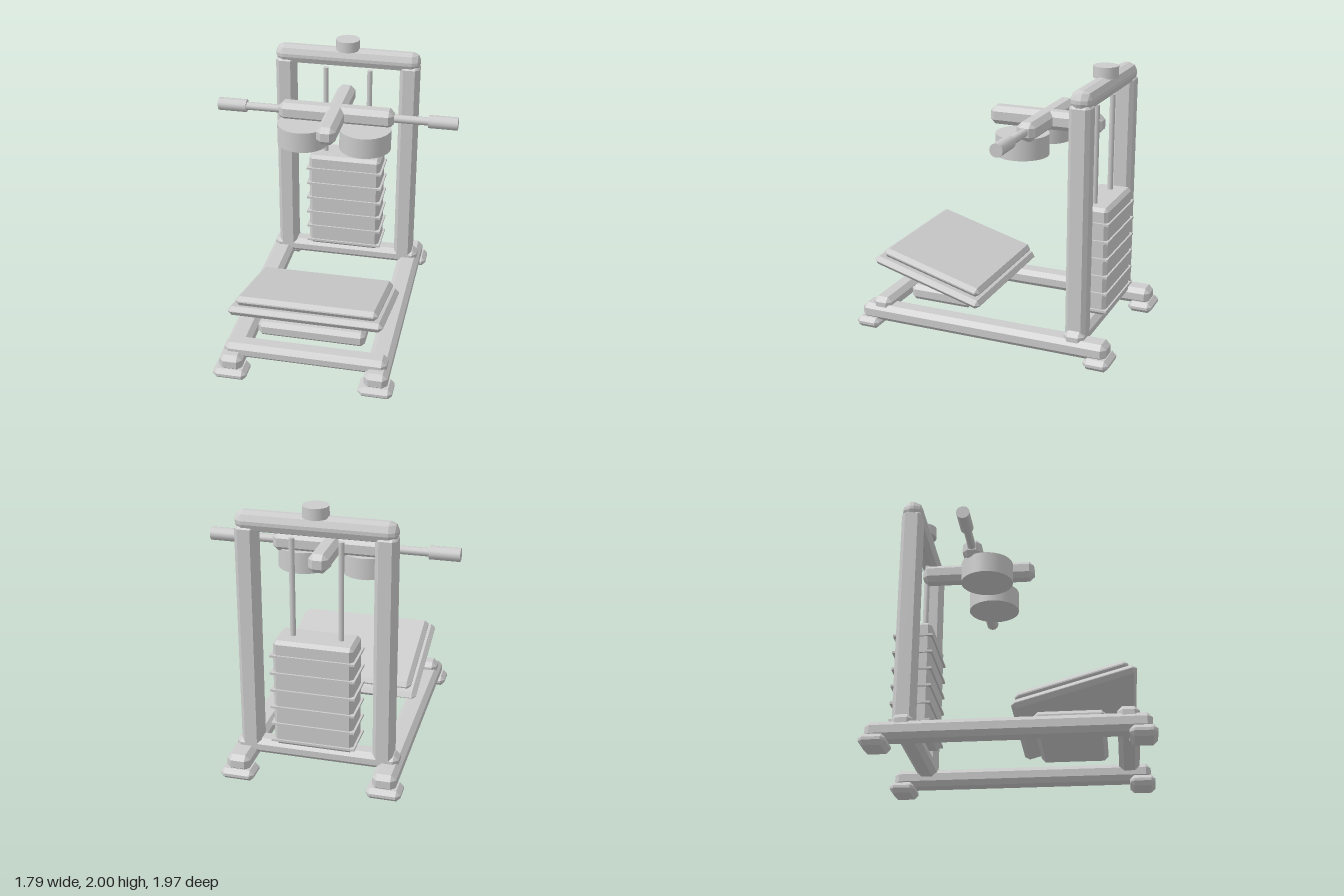
import * as THREE from 'three';
import { ConvexGeometry } from 'three/addons/geometries/ConvexGeometry.js';

const steel = new THREE.MeshStandardMaterial({ color: 0xcccccc });
steel.name = 'light grey steel';

// Box with bevelled edges: hull of eight corner patches; steps 2 gives a rounder bevel
function bevelBox(w, h, d, c, steps = 1) {
  const pts = [];
  const dirs = [[1, 0, 0], [0, 1, 0], [0, 0, 1]];
  if (steps > 1) {
    const r = Math.SQRT1_2;
    dirs.push([r, r, 0], [r, 0, r], [0, r, r]);
  }
  for (const sx of [-1, 1]) for (const sy of [-1, 1]) for (const sz of [-1, 1])
    for (const [x, y, z] of dirs)
      pts.push(new THREE.Vector3(
        sx * (w / 2 - c + x * c), sy * (h / 2 - c + y * c), sz * (d / 2 - c + z * c)));
  return new ConvexGeometry(pts);
}

export function createModel() {
  const model = new THREE.Group();
  model.name = 'exerciseMachine';

  function add(name, geometry, x, y, z, parent = model) {
    const mesh = new THREE.Mesh(geometry, steel);
    mesh.name = name;
    mesh.position.set(x, y, z);
    parent.add(mesh);
    return mesh;
  }
  const cylinder = (r, h, n) => new THREE.CylinderGeometry(r, r, h, n);

  // Base: feet, side rails, cross bars
  for (const [s, side] of [[1, 'left'], [-1, 'right']]) {
    for (const [f, end] of [[1, 'Front'], [-1, 'Rear']])
      add(side + end + 'Foot', bevelBox(0.245, 0.08, 0.185, 0.03), s * 0.527, 0.04, f * 0.893);
    add(side + 'Rail', bevelBox(0.17, 0.125, 1.91, 0.035), s * 0.525, 0.117, 0);
    add(side + 'Post', bevelBox(0.145, 1.7, 0.15, 0.028), s * 0.478, 0.99, -0.71);
  }
  add('frontCrossBar', bevelBox(1.18, 0.115, 0.15, 0.035), 0, 0.178, 0.8);
  add('rearCrossBar', bevelBox(1.18, 0.115, 0.15, 0.035), 0, 0.178, -0.71);

  // Top beam and cap
  add('topBeam', bevelBox(1.11, 0.145, 0.15, 0.06, 2), 0, 1.858, -0.71);
  add('topCap', cylinder(0.09, 0.08, 24), 0, 1.96, -0.71);

  // Weight stack with thin dividers, and its guide rods
  add('weightStack', bevelBox(0.565, 0.8, 0.262, 0.025), 0, 0.655, -0.712);
  for (let i = 0; i < 6; i++)
    add('stackDivider', new THREE.BoxGeometry(0.596, 0.016, 0.288), 0, 0.295 + i * 0.13, -0.712);
  for (const s of [-1, 1])
    add('guideRod', cylinder(0.02, 1.46, 12), s * 0.17, 1.03, -0.71);

  // Press arm with handles and round pads
  add('pressArm', bevelBox(0.138, 0.135, 0.85, 0.036), 0, 1.578, -0.28);
  add('handleBar', bevelBox(0.86, 0.135, 0.138, 0.036), 0, 1.578, -0.28);
  for (const s of [-1, 1]) {
    add('handleRod', cylinder(0.03, 0.4, 12), s * 0.53, 1.58, -0.278).rotation.z = Math.PI / 2;
    add('handleGrip', cylinder(0.048, 0.215, 12), s * 0.788, 1.58, -0.278).rotation.z = Math.PI / 2;
    add('roundPad', cylinder(0.19, 0.155, 32), s * 0.233, 1.448, -0.187);
  }

  // Tilted platform on its support block
  add('platformSupport', bevelBox(0.79, 0.115, 0.49, 0.03), 0, 0.233, 0.405);
  const platform = new THREE.Group();
  platform.name = 'platform';
  platform.position.set(0, 0.4, 0.445);
  platform.rotation.x = -0.275;
  model.add(platform);
  add('platformBoard', bevelBox(1.11, 0.065, 0.88, 0.03), 0, 0, 0, platform);
  add('platformPad', bevelBox(1.02, 0.07, 0.8, 0.03), 0, 0.064, 0, platform);

  return model;
}
